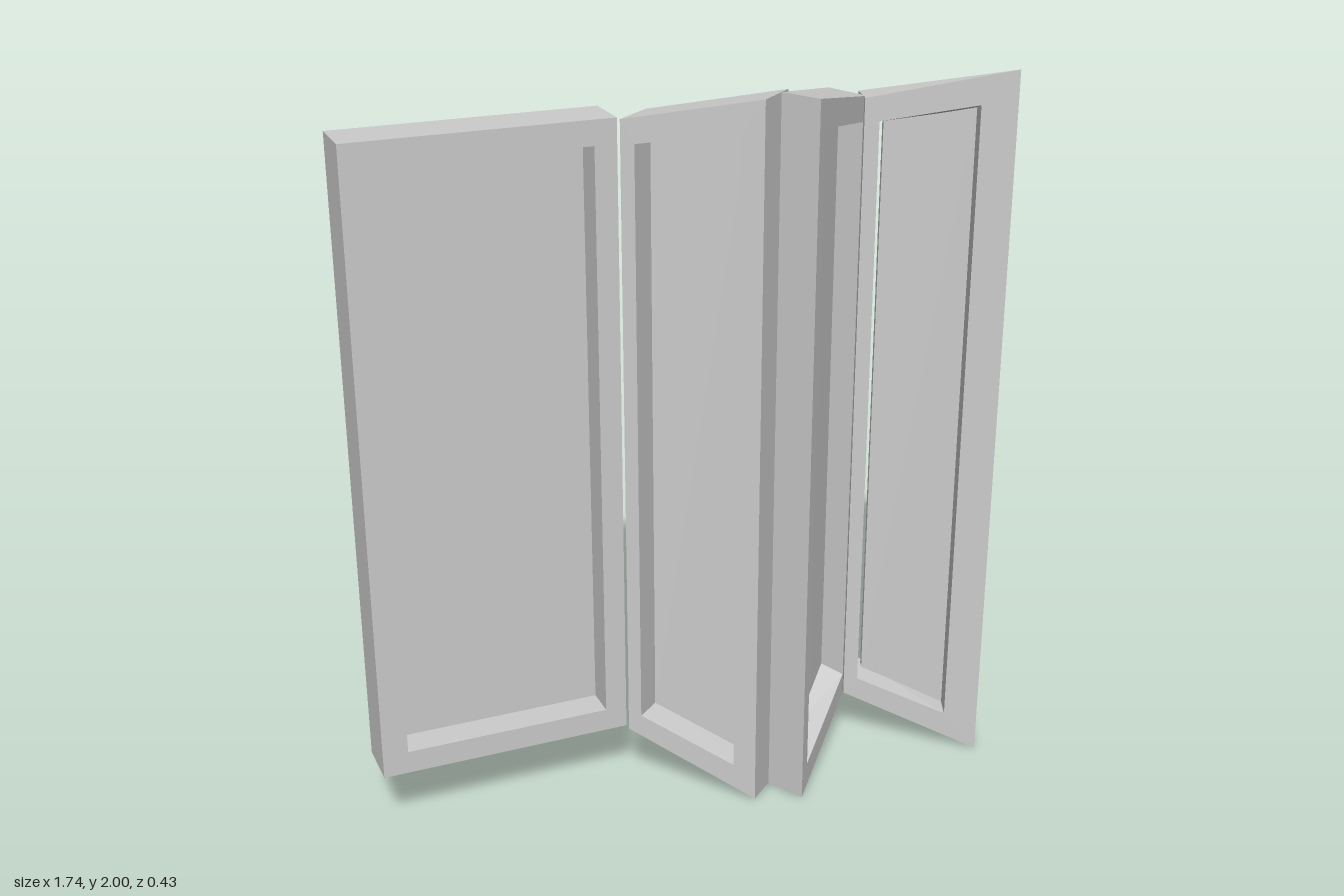
import * as THREE from 'three';

const material = new THREE.MeshStandardMaterial({ color: 0xcccccc, flatShading: true });

// Each panel: four vertical edges [x, z, yBottom, yTop] (front/back, left/right as seen from the front),
// the opening across its width, and the gaps left beside the infill board.
const PANELS = [
  {
    name: 'firstPanel', opening: [0.1, 0.914], gaps: [0, 0],
    fl: [-0.87, -0.08, 0.175, 1.915], fr: [-0.17, -0.08, 0.175, 1.915],
    bl: [-0.87, -0.22, 0.175, 1.915], br: [-0.17, -0.22, 0.175, 1.915],
  },
  {
    name: 'secondPanel', opening: [0.1, 0.83], gaps: [0, 0.04],
    fl: [-0.17, -0.06, 0.175, 1.915], fr: [0.12, 0.165, 0.005, 1.985],
    bl: [-0.07, -0.14, 0.175, 1.915], br: [0.22, 0.08, 0.005, 1.985],
  },
  {
    name: 'thirdPanel', opening: [0.1, 0.9], gaps: [0, 0],
    fl: [0.245, 0.21, 0.005, 1.985], fr: [0.525, -0.075, 0.16, 1.91],
    bl: [0.19, 0.105, 0.005, 1.985], br: [0.465, -0.185, 0.175, 1.915],
  },
  {
    name: 'fourthPanel', opening: [0.1, 0.76], gaps: [0.055, 0],
    fl: [0.495, -0.035, 0.155, 1.915], fr: [0.83, 0.165, 0, 2],
    bl: [0.53, -0.14, 0.175, 1.91], br: [0.865, 0.08, 0.005, 1.96],
  },
];
const V0 = 0.037, V1 = 0.962;       // opening height, as a share of the panel
const BOARD_BACK = 0.2, BOARD_FRONT = 0.38; // infill depth, as a share of the thickness

// Bend a unit-cube geometry (u across, v up, w back to front) into the panel's four edges
function fitToPanel(geometry, p) {
  const geo = geometry.index ? geometry.toNonIndexed() : geometry;
  const pos = geo.attributes.position;
  const mix = THREE.MathUtils.lerp;
  for (let i = 0; i < pos.count; i++) {
    const u = pos.getX(i), v = pos.getY(i), w = pos.getZ(i);
    const [x, z, y0, y1] = p.fl.map((_, k) => mix(mix(p.bl[k], p.br[k], u), mix(p.fl[k], p.fr[k], u), w));
    pos.setXYZ(i, x, mix(y0, y1, v), z);
  }
  geo.computeVertexNormals();
  return geo;
}

function rectangle(target, u0, v0, u1, v1) {
  target.moveTo(u0, v0);
  target.lineTo(u1, v0);
  target.lineTo(u1, v1);
  target.lineTo(u0, v1);
  target.closePath();
  return target;
}

function addMesh(parent, name, geometry) {
  const mesh = new THREE.Mesh(geometry, material);
  mesh.name = name;
  parent.add(mesh);
}

function createPanel(p) {
  const group = new THREE.Group();
  group.name = p.name;
  const [u0, u1] = p.opening;

  // Surrounding frame with a rectangular opening
  const outline = rectangle(new THREE.Shape(), 0, 0, 1, 1);
  outline.holes.push(rectangle(new THREE.Path(), u0, V0, u1, V1));
  const frame = new THREE.ExtrudeGeometry(outline, { depth: 1, bevelEnabled: false });
  addMesh(group, 'frame', fitToPanel(frame, p));

  // Recessed infill board, set nearer the back
  const a = u0 + p.gaps[0], b = u1 - p.gaps[1];
  const board = new THREE.BoxGeometry(b - a, V1 - V0, BOARD_FRONT - BOARD_BACK);
  board.translate((a + b) / 2, (V0 + V1) / 2, (BOARD_BACK + BOARD_FRONT) / 2);
  addMesh(group, 'infillBoard', fitToPanel(board, p));
  return group;
}

export function createModel() {
  const model = new THREE.Group();
  model.name = 'foldingScreen';
  for (const p of PANELS) model.add(createPanel(p));
  return model;
}
